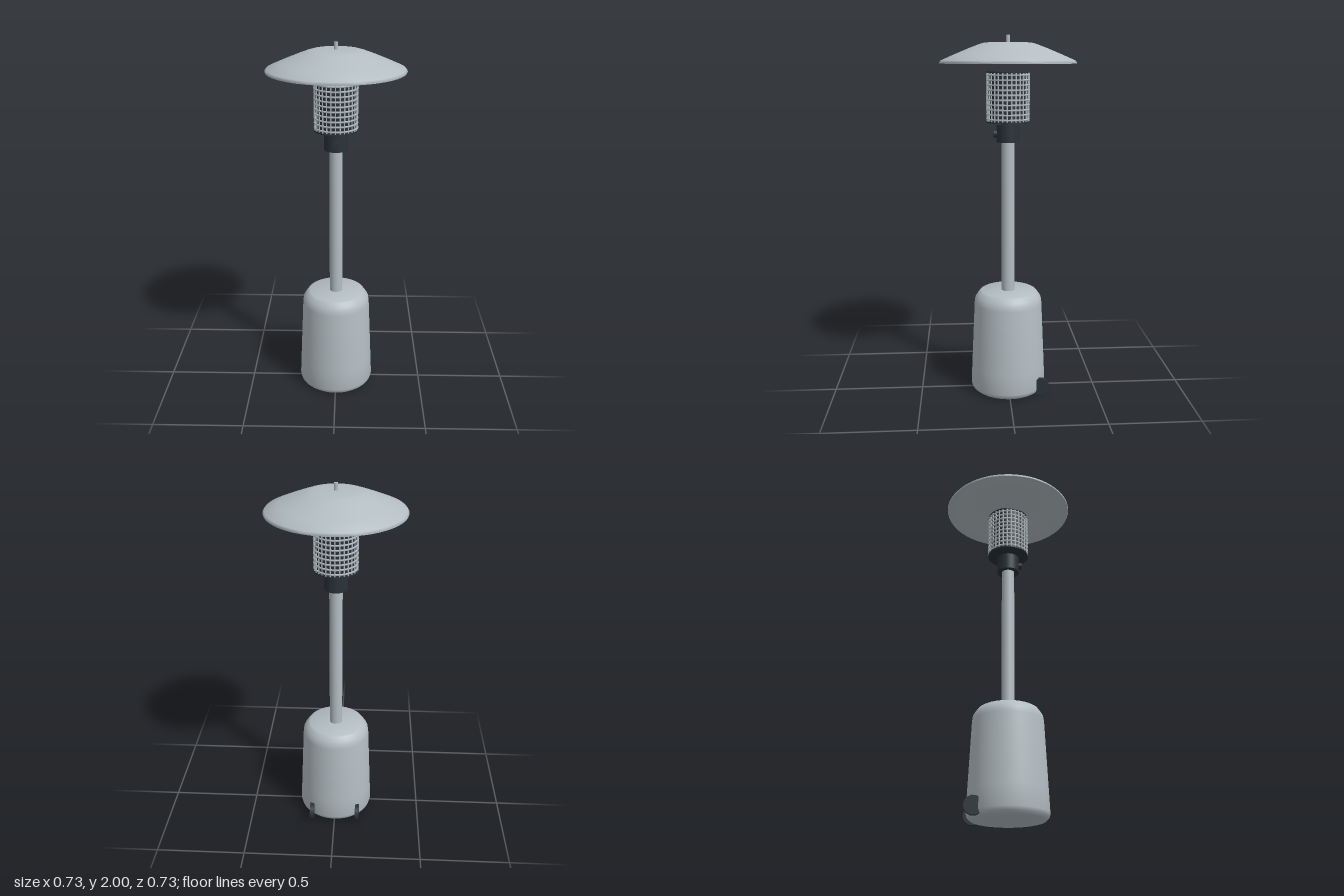
import * as THREE from 'three';
import { toCreasedNormals } from 'three/addons/utils/BufferGeometryUtils.js';

const steel = new THREE.MeshStandardMaterial({ name: 'brushed steel', color: 0xb3bdc2 });
const dark = new THREE.MeshStandardMaterial({ name: 'dark iron', color: 0x2a3238 });

export function createModel() {
  const model = new THREE.Group();
  model.name = 'patioHeater';

  const add = (name, geometry, material, x = 0, y = 0, z = 0, parent = model) => {
    const mesh = new THREE.Mesh(geometry, material);
    mesh.name = name;
    mesh.position.set(x, y, z);
    parent.add(mesh);
    return mesh;
  };
  // Turned part from [radius, height] pairs, listed bottom to top along the outside
  const turned = (points, crease) => toCreasedNormals(
    new THREE.LatheGeometry(points.map(([r, y]) => new THREE.Vector2(r, y)), 64), crease);
  const drum = (r, y0, y1, sides = 32) =>
    new THREE.CylinderGeometry(r, r, y1 - y0, sides).translate(0, (y0 + y1) / 2, 0);

  // Tapered tank housing with soft shoulder and rounded foot
  add('baseHousing', turned([
    [0, 0.004], [0.15, 0.004], [0.192, 0.006], [0.208, 0.02], [0.213, 0.038], [0.208, 0.15],
    [0.191, 0.52], [0.187, 0.548], [0.177, 0.564], [0.162, 0.585], [0.15, 0.592], [0, 0.593],
  ], 1.2), steel);

  // Post, valve collar and neck
  add('post', drum(0.036, 0.585, 1.45), steel);
  add('valveCollar', drum(0.063, 1.435, 1.53), dark);
  add('neck', drum(0.037, 1.52, 1.55), dark);

  // Control knob on the front of the collar
  add('controlKnob', new THREE.CylinderGeometry(0.02, 0.02, 0.03, 20).rotateX(Math.PI / 2),
    dark, 0, 1.48, 0.065);

  // Burner core wrapped in a wire grille between two end plates
  const burner = new THREE.Group();
  burner.name = 'burner';
  model.add(burner);
  add('burnerCore', drum(0.11, 1.545, 1.808, 48), dark, 0, 0, 0, burner);
  add('lowerPlate', drum(0.117, 1.541, 1.549, 48), dark, 0, 0, 0, burner);
  add('upperPlate', drum(0.117, 1.804, 1.811, 48), dark, 0, 0, 0, burner);
  const ring = new THREE.TorusGeometry(0.1135, 0.005, 6, 48).rotateX(Math.PI / 2);
  for (let i = 0; i < 10; i++) {
    add('grilleRing', ring, steel, 0, 1.5595 + i * 0.026, 0, burner);
  }
  const bar = new THREE.CylinderGeometry(0.004, 0.004, 0.258, 6);
  for (let i = 0; i < 30; i++) {
    const a = (i / 30) * Math.PI * 2;
    add('grilleBar', bar, steel, Math.sin(a) * 0.1135, 1.676, Math.cos(a) * 0.1135, burner);
  }

  // Hollow dished reflector with a thin rim
  add('reflector', turned([
    [0, 1.953], [0.12, 1.949], [0.2, 1.924], [0.29, 1.886], [0.357, 1.852], [0.364, 1.852],
    [0.366, 1.858], [0.358, 1.868], [0.29, 1.898], [0.21, 1.931], [0.155, 1.952], [0.13, 1.959],
    [0.1, 1.962], [0, 1.963],
  ], 1), steel);
  add('finial', drum(0.011, 1.955, 2, 16), steel);

  // Pair of rear transport wheels
  const wheel = new THREE.CylinderGeometry(0.049, 0.049, 0.024, 14).rotateZ(Math.PI / 2);
  for (const side of [1, -1]) {
    add(side > 0 ? 'leftWheel' : 'rightWheel', wheel, dark, side * 0.134, 0.053, -0.178);
  }

  return model;
}
